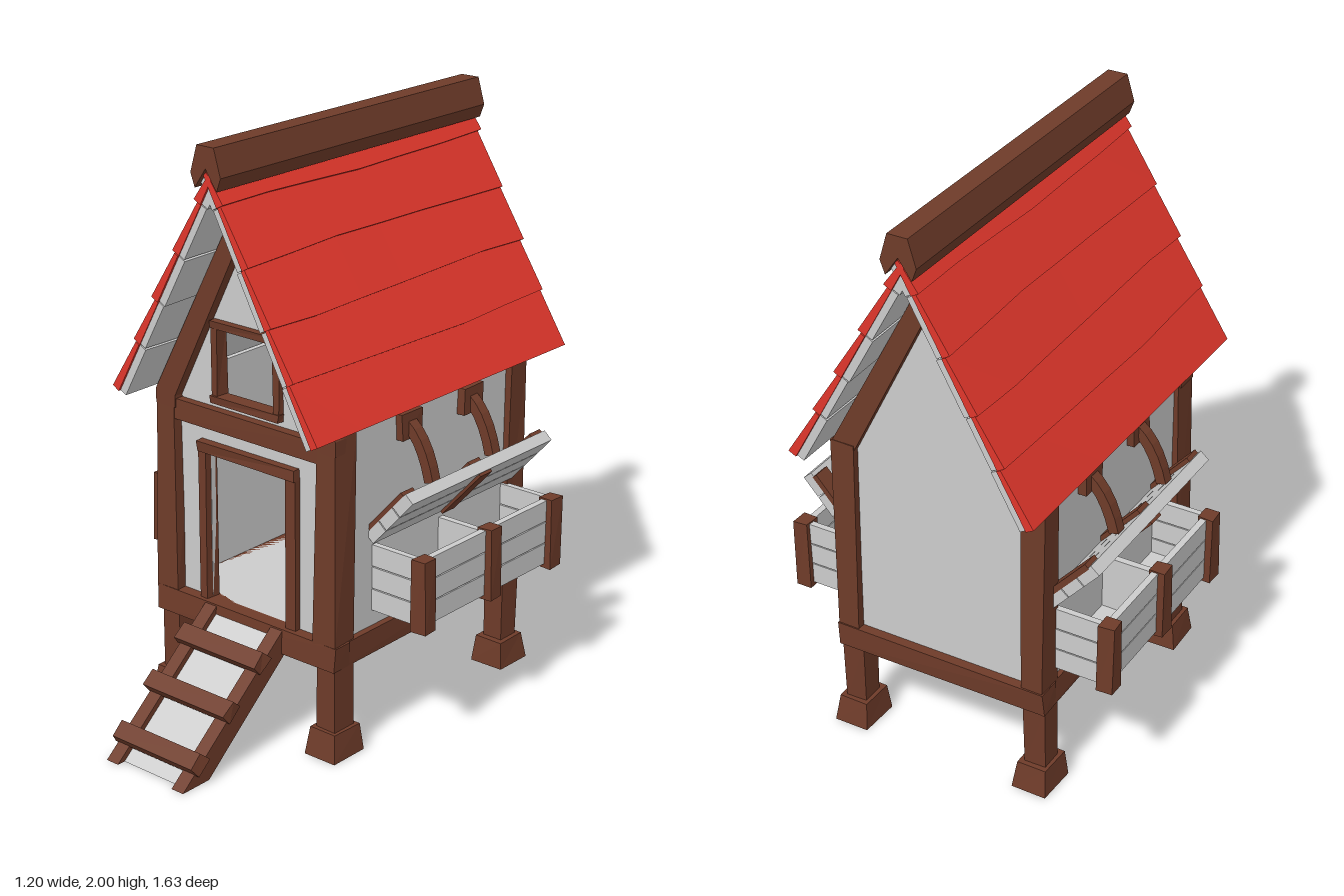
import * as THREE from 'three';

const grey = new THREE.MeshStandardMaterial({ color: 0xcccccc, flatShading: true });
const brown = new THREE.MeshStandardMaterial({ color: 0x6e3b29, flatShading: true });
const red = new THREE.MeshStandardMaterial({ color: 0xe0362b, flatShading: true });

const add = (parent, name, geo, mat) => {
  const mesh = new THREE.Mesh(geo, mat);
  mesh.name = name;
  parent.add(mesh);
  return mesh;
};

// Box given by its ranges on each axis
function box(parent, name, mat, [x0, x1], [y0, y1], [z0, z1]) {
  const mesh = add(parent, name, new THREE.BoxGeometry(Math.abs(x1 - x0), y1 - y0, Math.abs(z1 - z0)), mat);
  mesh.position.set((x0 + x1) / 2, (y0 + y1) / 2, (z0 + z1) / 2);
  return mesh;
}

// Hand-cut timber: a box with a tapered top and slightly uneven corners
function timber(parent, name, xs, ys, zs, taper = 1, wobble = 0.005) {
  const mesh = box(parent, name, brown, xs, ys, zs);
  const p = mesh.geometry.attributes.position, c = mesh.position;
  for (let i = 0; i < p.count; i++) {
    const x = p.getX(i), y = p.getY(i), z = p.getZ(i);
    const k = y > 0 ? taper : 1;
    const n = (x + c.x) * 91 + (y + c.y) * 57 + (z + c.z) * 73;
    p.setXYZ(i, x * k + Math.sin(n) * wobble, y, z * k + Math.cos(n * 1.7) * wobble);
  }
  mesh.geometry.computeVertexNormals();
  return mesh;
}

const toShape = (pts) => new THREE.Shape(pts.map(([x, y]) => new THREE.Vector2(x, y)));
const rect = (x0, x1, y0, y1) => new THREE.Path(
  [[x0, y0], [x0, y1], [x1, y1], [x1, y0]].map(([x, y]) => new THREE.Vector2(x, y)));

// Outline in x, y extruded from z0 to z1
function prism(parent, name, mat, pts, z0, z1, holes = []) {
  const shape = toShape(pts);
  shape.holes.push(...holes);
  const geo = new THREE.ExtrudeGeometry(shape, { depth: z1 - z0, bevelEnabled: false });
  return add(parent, name, geo.translate(0, 0, z0), mat);
}

// Rectangular frame of four timbers
function frame(parent, name, x0, x1, y0, y1, t, z0, z1, sill) {
  timber(parent, name + 'Side', [x0, x0 + t], [y0, y1 - t], [z0, z1], 1, 0.003);
  timber(parent, name + 'Side', [x1 - t, x1], [y0, y1 - t], [z0, z1], 1, 0.003);
  timber(parent, name + 'Top', [x0, x1], [y1 - t, y1], [z0, z1 + 0.005], 1, 0.003);
  if (sill) timber(parent, name + 'Sill', [x0, x1], [y0, y0 + t], [z0, z1 + 0.005], 1, 0.003);
}

function buildHouse(house) {
  // Floor and its edge beams
  box(house, 'floorUnderside', brown, [-0.36, 0.36], [0.325, 0.385], [-0.64, 0.32]);
  box(house, 'floor', grey, [-0.35, 0.35], [0.385, 0.4], [-0.62, 0.29]);
  timber(house, 'frontSill', [-0.39, 0.39], [0.315, 0.4], [0.265, 0.345]);
  timber(house, 'backSill', [-0.39, 0.39], [0.315, 0.4], [-0.665, -0.585]);
  for (const s of [-1, 1]) {
    timber(house, 'sideSill', [s * 0.31, s * 0.385], [0.315, 0.4], [-0.66, 0.34]);
    box(house, 'sideWall', grey, [s * 0.345, s * 0.365], [0.39, 1.13], [-0.62, 0.29]);
    for (const [z, w] of [[0.287, 0.05], [-0.61, 0.047]]) {
      timber(house, 'cornerPost', [s * 0.303, s * 0.387], [0.39, 1.11], [z - w, z + w], 0.95, 0.007);
      timber(house, 'leg', [s * 0.305, s * 0.382], [0.08, 0.33], [z - 0.043, z + 0.043]);
      timber(house, 'foot', [s * 0.28, s * 0.407], [0, 0.095], [z - 0.073, z + 0.073], 0.84, 0.003);
    }
  }
  // Gable walls, the front one with door and window openings
  const gable = [[-0.35, 0.39], [0.35, 0.39], [0.35, 1.14], [0, 1.79], [-0.35, 1.14]];
  prism(house, 'frontWall', grey, gable, 0.28, 0.3,
    [rect(-0.175, 0.175, 0.4, 0.925), rect(-0.13, 0.12, 1.12, 1.36)]);
  prism(house, 'backWall', grey, gable, -0.635, -0.615);
  const rafters = [[-0.385, 1.1], [0, 1.82], [0.385, 1.1], [0.385, 1.05], [0.3, 1.05], [0.3, 1.09],
    [0, 1.685], [-0.3, 1.09], [-0.3, 1.05], [-0.385, 1.05]];
  prism(house, 'frontRafters', brown, rafters, 0.25, 0.335);
  prism(house, 'backRafters', brown, rafters, -0.657, -0.575);
  timber(house, 'crossBeam', [-0.32, 0.32], [1.01, 1.08], [0.265, 0.33]);
  frame(house, 'doorFrame', -0.212, 0.208, 0.395, 0.957, 0.037, 0.27, 0.325, false);
  frame(house, 'windowFrame', -0.15, 0.142, 1.1, 1.38, 0.026, 0.27, 0.32, true);
}

// One slope of wavy lapped boards over a plank lining
function buildSlope() {
  const slope = new THREE.Group();
  slope.name = 'roofSlope';
  const seams = [0.01, 0.125, 0.32, 0.52, 0.707, 0.906];
  const wave = (i, z) => (i % 5 ? 0.006 * Math.sin(z * 4.5 + i * 2.1) + 0.002 * Math.sin(z * 11 + i) : 0);
  const board = (name, mat, i, length, gap, topLow, topHigh, bottom) => {
    const geo = new THREE.BoxGeometry(1, 1, length, 1, 1, 6);
    const p = geo.attributes.position;
    for (let v = 0; v < p.count; v++) {
      const low = p.getX(v) > 0, z = p.getZ(v);
      const t = low ? seams[i + 1] + wave(i + 1, z) - gap : seams[i] + wave(i, z) + gap;
      const h = p.getY(v) > 0 ? (low ? topLow : topHigh) : bottom;
      p.setXYZ(v, 0.48 * t + 0.877 * h, 1.93 - 0.877 * t + 0.48 * h, z);
    }
    geo.computeVertexNormals();
    add(slope, name, geo, mat);
  };
  for (let i = 0; i < 5; i++) {
    board('roofBoard', red, i, 1.29 - (i % 2) * 0.008, 0, 0.002, -0.012, -0.028);
    board('roofLining', grey, i, 1.275, 0.002, -0.028, -0.028, -0.055 + (i % 2) * 0.004);
  }
  return slope;
}

function buildRoof(roof) {
  const right = buildSlope(), left = right.clone();
  left.rotation.y = Math.PI;
  roof.add(right, left);
  prism(roof, 'ridgeBeam', brown, [[-0.035, 2], [0.035, 2], [0.062, 1.91], [0.045, 1.865],
    [0, 1.93], [-0.045, 1.865], [-0.062, 1.91]], -0.655, 0.655);
  roof.position.z = -0.165;
}

// Side box with an open lid, hung from curved arms
function buildSideBox(parent, s) {
  const g = new THREE.Group();
  g.name = s > 0 ? 'leftSideBox' : 'rightSideBox';
  parent.add(g);
  const flip = (pts) => pts.map(([x, y]) => [s * x, y]);
  const zs = [0.115, -0.23, -0.568];
  for (let i = 0; i < 3; i++) {
    const y = [0.455 + i * 0.078, 0.529 + i * 0.078];
    box(g, 'boxFrontPlank', grey, [s * 0.55, s * 0.573], y, [-0.575, 0.12]);
    box(g, 'boxEndPlank', grey, [s * 0.355, s * 0.55], y, [0.105, 0.127]);
    box(g, 'boxEndPlank', grey, [s * 0.355, s * 0.55], y, [-0.582, -0.56]);
  }
  box(g, 'boxBottom', grey, [s * 0.355, s * 0.56], [0.455, 0.475], [-0.57, 0.115]);
  box(g, 'boxDivider', grey, [s * 0.355, s * 0.555], [0.47, 0.67], [-0.242, -0.218]);

  // Tilted lid: a is along its width, h its height above the underside
  const at = (a, h) => [0.385 + 0.664 * a - 0.747 * h, 0.7 + 0.747 * a + 0.664 * h];
  const slab = (name, mat, a0, a1, h0, h1, z0, z1) =>
    prism(g, name, mat, flip([at(a0, h0), at(a1, h0), at(a1, h1), at(a0, h1)]), z0, z1);
  for (let i = 0; i < 3; i++) slab('lidPlank', grey, i * 0.081, i * 0.081 + 0.077, 0, 0.04, -0.597, 0.147);
  slab('lidUnderBatten', brown, 0.005, 0.235, -0.01, 0.005, -0.26, -0.198);
  for (const z of zs) {
    timber(g, 'boxPost', [s * 0.542, s * 0.598], [0.44, 0.69], [z - 0.031, z + 0.031], 0.95, 0.003);
    slab('lidBatten', brown, 0.02, 0.225, 0.035, 0.055, z - 0.03, z + 0.03);
  }

  // Curved arms with wall plates
  const curve = new THREE.QuadraticBezierCurve(
    new THREE.Vector2(0.375, 1.06), new THREE.Vector2(0.445, 1.01), new THREE.Vector2(0.475, 0.88));
  const outer = [], inner = [];
  for (let i = 0; i <= 5; i++) {
    const p = curve.getPoint(i / 5), d = curve.getTangent(i / 5).multiplyScalar(0.018);
    outer.push([p.x - d.y, p.y + d.x]);
    inner.unshift([p.x + d.y, p.y - d.x]);
  }
  for (const z of [-0.04, -0.36]) {
    prism(g, 'lidArm', brown, flip([...outer, ...inner]), z - 0.02, z + 0.02);
    timber(g, 'armPlate', [s * 0.35, s * 0.392], [1.01, 1.1], [z - 0.052, z + 0.052], 1, 0.003);
  }
}

// Ladder ramp: side outlines are drawn in z, y and turned to face the front
function buildRamp(ramp) {
  const side = (name, mat, pts, x0, x1) => {
    const mesh = prism(ramp, name, mat, pts.map(([z, y]) => [-z, y]), x0, x1);
    mesh.rotation.y = Math.PI / 2;
  };
  const rail = [[0.815, 0], [0.335, 0.4], [0.335, 0.305], [0.695, 0]];
  side('rampRail', brown, rail, 0.118, 0.168);
  side('rampRail', brown, rail, -0.172, -0.122);
  side('rampBoard', grey, [[0.785, 0], [0.335, 0.375], [0.335, 0.345], [0.75, 0]], -0.125, 0.122);
  for (const [z, y] of [[0.745, 0.077], [0.595, 0.203], [0.45, 0.322]]) {
    const rung = timber(ramp, 'rung', [-0.185, 0.18], [y - 0.021, y + 0.021], [z - 0.034, z + 0.034], 0.97, 0.004);
    rung.rotation.x = Math.atan2(0.4, 0.48);
  }
}

export function createModel() {
  const model = new THREE.Group();
  model.name = 'coop';
  const part = (name) => {
    const g = new THREE.Group();
    g.name = name;
    model.add(g);
    return g;
  };
  buildHouse(part('house'));
  buildRoof(part('roof'));
  const boxes = part('sideBoxes');
  for (const s of [-1, 1]) buildSideBox(boxes, s);
  buildRamp(part('ramp'));
  return model;
}
